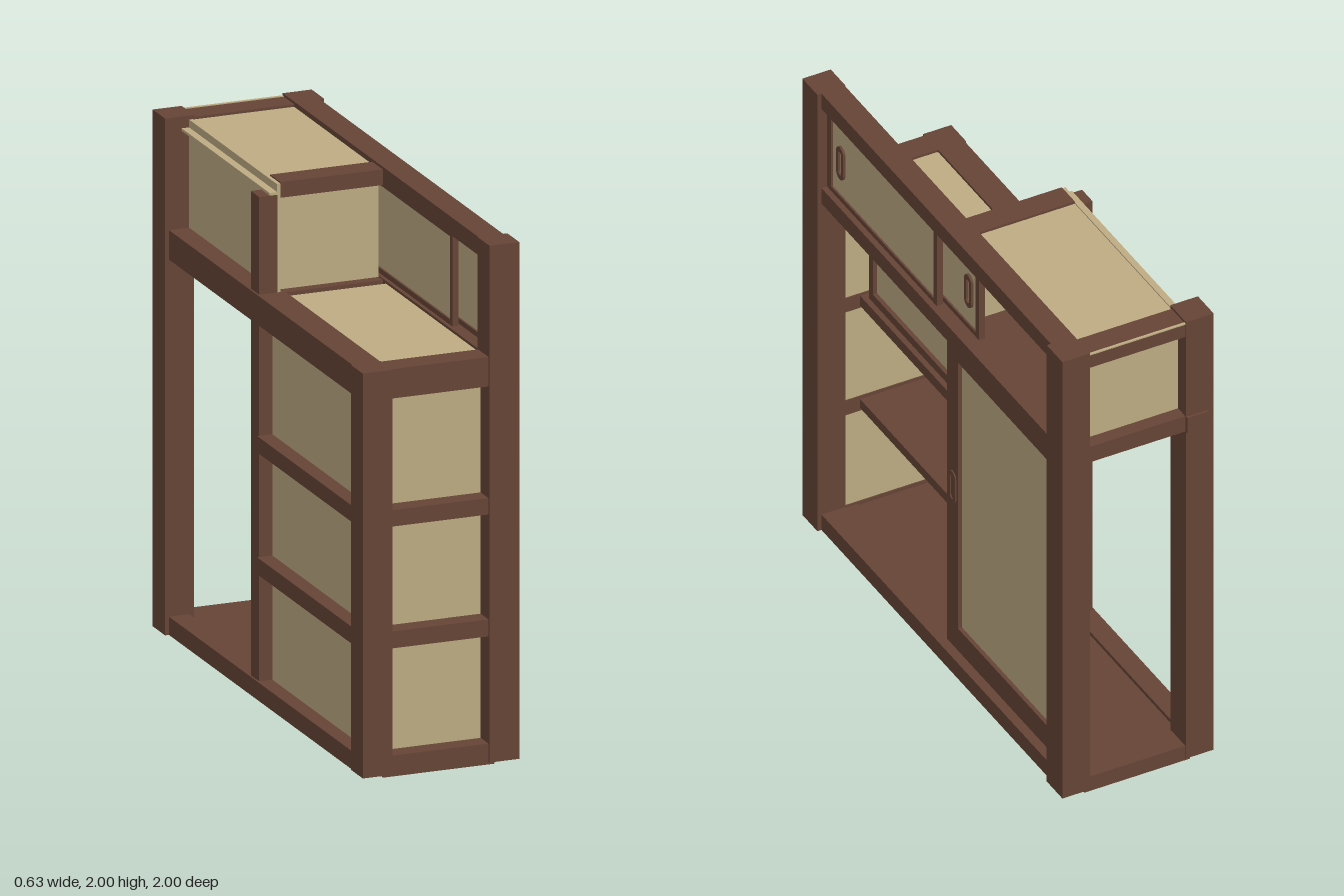
import * as THREE from 'three';

const wood = new THREE.MeshStandardMaterial({ color: 0x654436 });
wood.name = 'dark brown wood';
const paper = new THREE.MeshStandardMaterial({ color: 0xbdab82 });
paper.name = 'tan panel';

export function createModel() {
  const root = new THREE.Group();
  root.name = 'slidingDoorCabinet';

  // box given by its limits on each axis
  function box(name, x0, x1, y0, y1, z0, z1, mat = wood, parent = root) {
    const m = new THREE.Mesh(new THREE.BoxGeometry(x1 - x0, y1 - y0, z1 - z0), mat);
    m.position.set((x0 + x1) / 2, (y0 + y1) / 2, (z0 + z1) / 2);
    m.name = name;
    parent.add(m);
    return m;
  }

  // framed panel lying in the yz plane; border widths: z0 side, z1 side, y ends
  function framedPanel(name, x0, x1, y0, y1, z0, z1, b0, b1, by) {
    const g = new THREE.Group();
    g.name = name;
    box('stileRear', x0, x1, y0, y1, z0, z0 + b0, wood, g);
    box('stileFront', x0, x1, y0, y1, z1 - b1, z1, wood, g);
    box('railBottom', x0, x1, y0, y0 + by, z0 + b0, z1 - b1, wood, g);
    box('railTop', x0, x1, y1 - by, y1, z0 + b0, z1 - b1, wood, g);
    const inset = (x1 - x0) * 0.3;
    box('sheet', x0 + inset, x1 - inset, y0 + by, y1 - by, z0 + b0, z1 - b1, paper, g);
    root.add(g);
  }

  // rounded slot outline
  function slot(P, w, h) {
    const r = w / 2, c = h / 2 - r, s = new P();
    s.moveTo(r, -c);
    s.lineTo(r, c);
    s.absarc(0, c, r, 0, Math.PI, false);
    s.lineTo(-r, -c);
    s.absarc(0, -c, r, Math.PI, Math.PI * 2, false);
    return s;
  }
  function handle(name, x, y, z) {
    const s = slot(THREE.Shape, 0.054, 0.145);
    s.holes.push(slot(THREE.Path, 0.024, 0.105));
    const geo = new THREE.ExtrudeGeometry(s, { depth: 0.015, bevelEnabled: false, curveSegments: 6 });
    geo.rotateY(Math.PI / 2);
    const m = new THREE.Mesh(geo, wood);
    m.position.set(x, y, z);
    m.name = name;
    root.add(m);
  }

  // corner posts and the middle back post
  box('postFrontTall', 0.197, 0.315, 0.015, 2, 0.885, 1);
  box('postFrontShort', -0.305, -0.187, 0.015, 1.57, 0.885, 1);
  box('postRearDoorSide', 0.2, 0.315, 0.015, 2, -0.99, -0.87);
  box('postRearBackSide', -0.315, -0.2, 0.015, 2, -0.99, -0.87);
  box('postMiddle', -0.292, -0.22, 0.015, 1.945, -0.105, -0.025);

  // floor
  box('floor', -0.22, 0.22, 0.005, 0.07, -0.985, 0.99);
  box('floorTrack', 0.15, 0.2, 0.06, 0.082, -0.87, 0.885);

  // long beams of the door side
  [[0.015, 0.085], [1.5, 1.57], [1.93, 2]].forEach(([a, b]) =>
    box('doorSideBeam', 0.2, 0.298, a, b, -0.87, 0.885));

  // beams of the back and of the front end
  [[0.015, 0.085], [0.497, 0.562], [0.965, 1.028], [1.457, 1.57]].forEach(([a, b]) => {
    box('frontEndBeam', -0.187, 0.2, a, b, 0.89, 0.99);
    box('backBeam', -0.3, -0.19, a, b, -0.025, 0.885);
  });
  [[0.015, 0.085], [1.457, 1.57]].forEach(([a, b]) =>
    box('backOpeningBeam', -0.3, -0.22, a, b, -0.87, -0.025));

  // tan sheets of the lower case
  box('frontEndSheet', -0.187, 0.2, 0.085, 1.457, 0.895, 0.915, paper);
  box('backSheet', -0.24, -0.22, 0.085, 1.5, -0.025, 0.89, paper);
  box('lowTopSheet', -0.19, 0.2, 1.52, 1.56, 0, 0.89, paper);

  // partition and shelves, with their ends showing through
  box('partition', -0.22, 0.2, 0.07, 1.52, -0.03, 0);
  [[0.51, 0.55], [0.975, 1.02]].forEach(([a, b]) => {
    box('shelf', -0.22, 0.135, a, b, -0.003, 0.895);
    box('shelfCleat', -0.19, 0.125, a, b, -0.045, -0.03);
  });

  // hinged compartment front with its knob
  framedPanel('compartmentDoor', 0.055, 0.113, 1.02, 1.46, 0, 0.862, 0.042, 0.03, 0.035);
  const knob = new THREE.Mesh(new THREE.CylinderGeometry(0.036, 0.03, 0.03, 16), wood);
  knob.rotation.z = -Math.PI / 2;
  knob.position.set(0.107, 1.24, 0.135);
  knob.name = 'knob';
  root.add(knob);

  // large sliding door
  framedPanel('slidingDoor', 0.205, 0.26, 0.08, 1.5, -0.875, -0.005, 0.068, 0.085, 0.105);
  handle('doorHandle', 0.25, 0.805, -0.05);

  // small sliding doors of the upper band
  framedPanel('upperDoorOuter', 0.25, 0.275, 1.565, 1.935, 0.045, 0.885, 0.025, 0.03, 0.025);
  framedPanel('upperDoorInner', 0.215, 0.24, 1.565, 1.935, -0.212, 0.6, 0.025, 0.025, 0.025);
  handle('upperHandleOuter', 0.262, 1.74, 0.785);
  handle('upperHandleInner', 0.227, 1.74, -0.13);

  // upper box: floor, sheets and frame
  box('upperFloor', -0.2, 0.2, 1.515, 1.565, -0.95, -0.03);
  box('upperBackSheet', -0.22, -0.205, 1.457, 1.985, -0.87, -0.03, paper);
  box('upperBackLedge', -0.25, -0.22, 1.945, 1.955, -0.87, -0.025, paper);
  box('upperTopSheet', -0.205, 0.2, 1.95, 1.98, -0.88, -0.13, paper);
  box('upperFrontSheet', -0.205, 0.2, 1.565, 1.93, -0.09, -0.07, paper);
  box('upperFrontBeam', -0.205, 0.2, 1.93, 1.99, -0.13, -0.03);
  box('upperRearBeam', -0.2, 0.2, 1.93, 1.99, -0.985, -0.88);
  box('upperRearStrip', -0.2, 0.2, 1.988, 1.993, -0.988, -0.978, paper);
  box('upperRearSheet', -0.2, 0.2, 1.565, 1.93, -0.93, -0.91, paper);
  box('rearEndBeam', -0.2, 0.2, 1.5, 1.57, -0.985, -0.89);
  box('rearEndBeamTip', -0.29, -0.2, 1.5, 1.57, -1, -0.9);

  return root;
}
